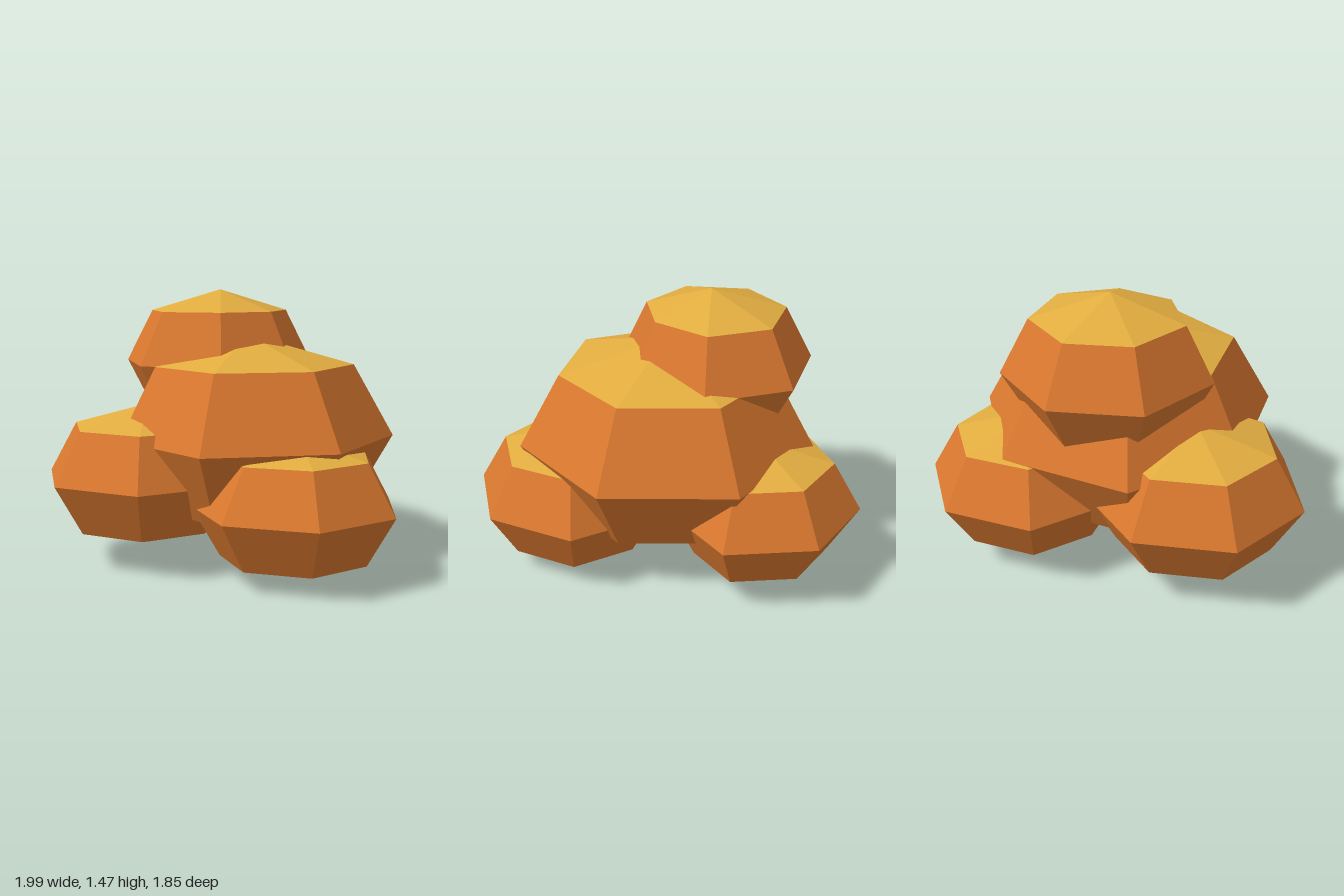
import * as THREE from 'three';

const orange = new THREE.MeshStandardMaterial({ color: 0xd9782f });
orange.name = 'orange';
const gold = new THREE.MeshStandardMaterial({ color: 0xe2ad40 });
gold.name = 'gold';

// Each lump: centre, vertical radius, and the [x, z] corners of its widest ring,
// listed left, front, right, back.
const LUMPS = [
  { name: 'mainLump', centre: [0.045, 0.685, -0.08], height: 0.545,
    ring: [[-0.65, -0.3], [-0.62, 0.36], [-0.02, 0.71], [0.62, 0.465], [0.83, -0.19], [0.45, -0.76], [-0.24, -0.82]] },
  { name: 'topLump', centre: [0.04, 1.07, -0.32], height: 0.4,
    ring: [[-0.5, -0.32], [-0.26, 0.07], [0.16, 0.14], [0.53, -0.11], [0.53, -0.58], [0.15, -0.86], [-0.3, -0.75]] },
  { name: 'frontLump', centre: [-0.04, 0.375, 0.41], height: 0.37,
    ring: [[-0.585, 0.485], [-0.32, 0.88], [0.155, 0.92], [0.48, 0.57], [0.39, 0.1], [-0.02, -0.14], [-0.45, 0.05]] },
  { name: 'rightLump', centre: [-0.43, 0.475, -0.37], height: 0.385,
    ring: [[-1, -0.37], [-0.79, 0.08], [-0.31, 0.18], [0.08, -0.12], [0.08, -0.61], [-0.29, -0.91], [-0.78, -0.81]] },
  { name: 'leftLump', centre: [0.46, 0.42, -0.43], height: 0.365,
    ring: [[-0.06, -0.56], [0.03, -0.11], [0.47, 0.03], [0.885, -0.09], [0.99, -0.55], [0.705, -0.925], [0.23, -0.925]] },
];

// Unindexed triangles give crisp flat faces
function facetMesh(name, triangles, material) {
  const geometry = new THREE.BufferGeometry();
  geometry.setAttribute('position', new THREE.Float32BufferAttribute(triangles.flat(2), 3));
  geometry.computeVertexNormals();
  const mesh = new THREE.Mesh(geometry, material);
  mesh.name = name;
  return mesh;
}

function makeLump({ name, centre: [cx, cy, cz], height, ring }) {
  const level = (spread, rise) => ring.map(([x, z]) =>
    [cx + (x - cx) * spread, cy + height * rise, cz + (z - cz) * spread]);
  const upper = level(0.725, 0.707);
  const middle = level(1, 0);
  const lower = level(0.725, -0.707);
  const peak = [cx, cy + height, cz];
  const base = [cx, cy - height, cz];

  const cap = [], body = [];
  ring.forEach((_, i) => {
    const j = (i + 1) % ring.length;
    cap.push([peak, upper[i], upper[j]]);
    for (const [a, b] of [[upper, middle], [middle, lower]]) {
      body.push([a[i], b[i], b[j]], [a[i], b[j], a[j]]);
    }
    body.push([base, lower[j], lower[i]]);
  });

  const group = new THREE.Group();
  group.name = name;
  group.add(facetMesh(name + 'Cap', cap, gold), facetMesh(name + 'Body', body, orange));
  return group;
}

export function createModel() {
  const model = new THREE.Group();
  model.name = 'lumpPile';
  LUMPS.forEach((lump) => model.add(makeLump(lump)));
  return model;
}
